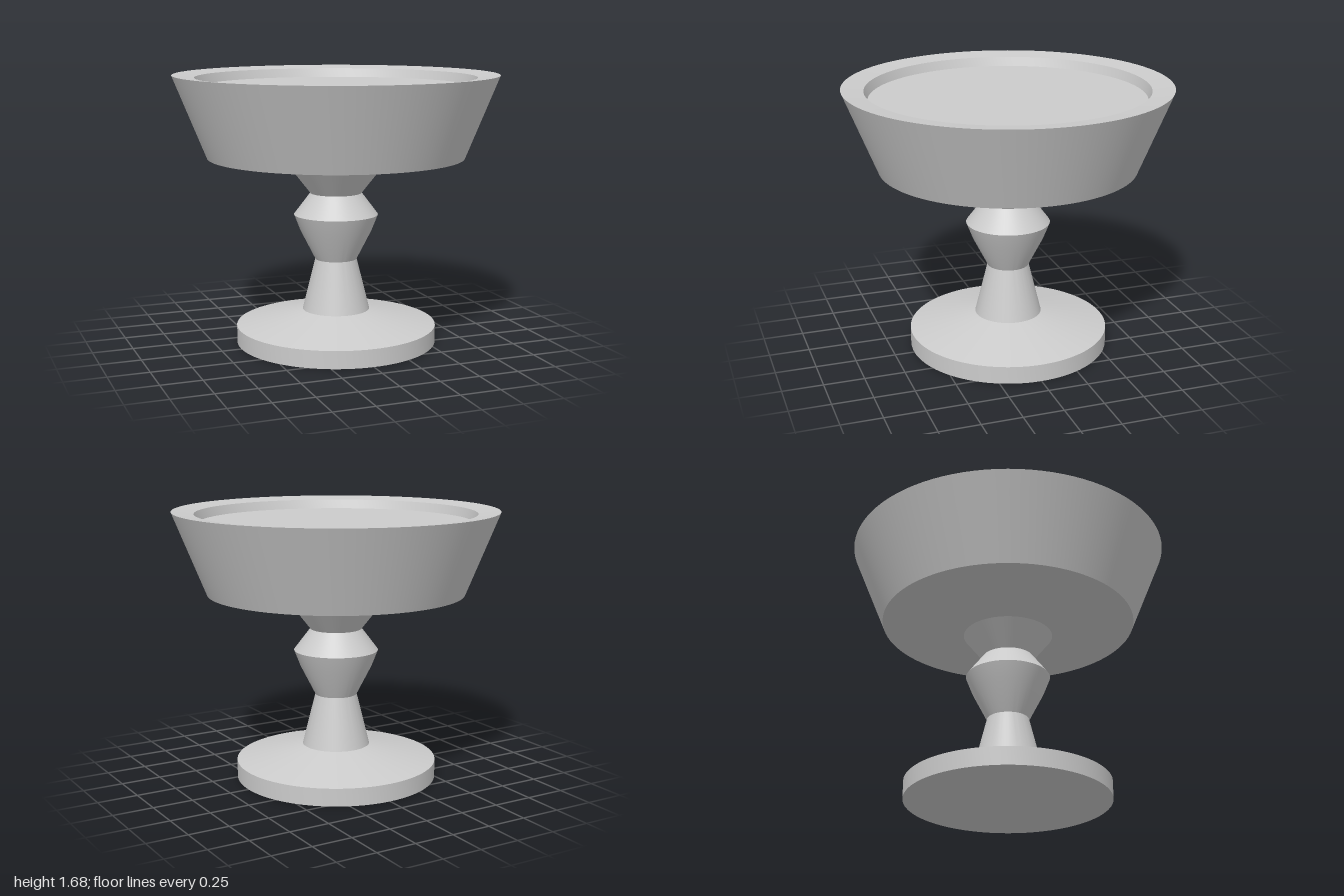
import * as THREE from 'three';
import { toCreasedNormals } from 'three/addons/utils/BufferGeometryUtils.js';

const material = new THREE.MeshStandardMaterial({ color: 0xcccccc });

// Turned part from [radius, height] pairs, smooth around and sharp at the rings
function turned(name, profile) {
  const points = profile.map(([r, y]) => new THREE.Vector2(r, y));
  const lathe = new THREE.LatheGeometry(points, 96);
  const mesh = new THREE.Mesh(toCreasedNormals(lathe, 0.22), material);
  mesh.name = name;
  return mesh;
}

export function createModel() {
  const model = new THREE.Group();
  model.name = 'pedestalBowl';

  // Round foot with a sloping top
  model.add(turned('foot', [[0, 0], [0.626, 0], [0.626, 0.11], [0.21, 0.205]]));

  // Stem: tapered shaft, knop and flared neck
  model.add(turned('stem', [
    [0.21, 0.205], [0.13, 0.527], [0.223, 0.71],
    [0.262, 0.81], [0.16, 0.945], [0.28, 1.098],
  ]));

  // Bowl: shallow underside, flared wall, dished rim and recessed floor
  model.add(turned('bowl', [
    [0.28, 1.098], [0.795, 1.172], [1, 1.68],
    [0.863, 1.664], [0.842, 1.607], [0, 1.607],
  ]));

  return model;
}
